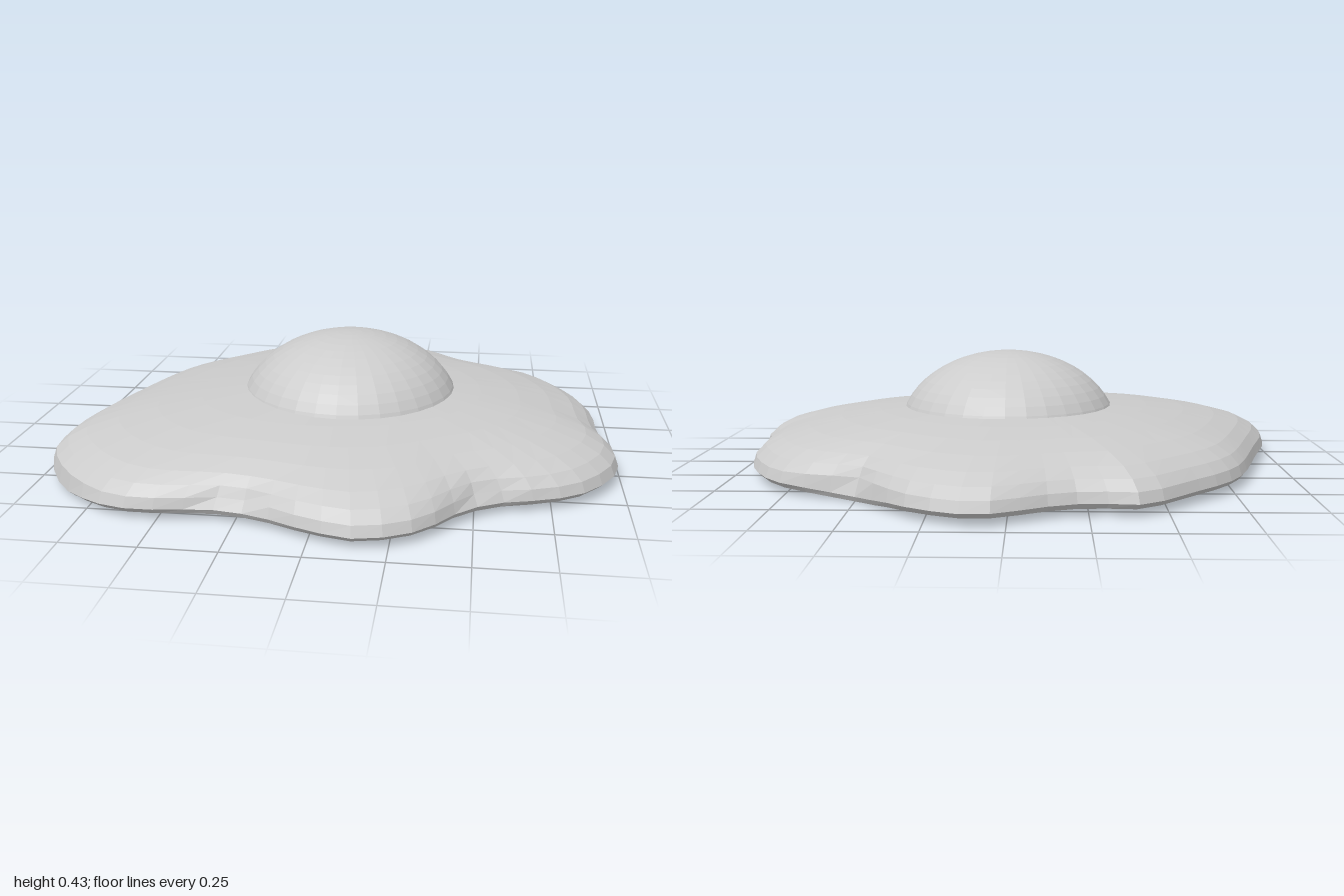
import * as THREE from 'three';

// Wavy rim of the egg white as x, z pairs, clockwise from the back
const RIM = [
  0.14, -0.955, 0.31, -0.865, 0.39, -0.775, 0.51, -0.64, 0.725, -0.57, 0.8, -0.515,
  0.895, -0.36, 0.945, -0.2, 0.955, 0.065, 0.995, 0.2, 0.97, 0.355, 0.85, 0.52,
  0.74, 0.58, 0.555, 0.64, 0.445, 0.73, 0.355, 0.85, 0.265, 0.91, 0.15, 0.945,
  0, 0.905, -0.17, 0.83, -0.32, 0.8, -0.56, 0.825, -0.68, 0.8, -0.835, 0.68,
  -0.95, 0.525, -0.997, 0.4, -0.985, 0.21, -0.905, -0.05, -0.79, -0.4, -0.72, -0.515,
  -0.6, -0.645, -0.41, -0.825, -0.265, -0.815, -0.14, -0.85, 0.045, -0.95,
];

// Cross-section from the top centre, over the rim, to the bottom centre:
// [share of the rim radius, height, pinch in the dents]
const PROFILE = [
  [0, 0.24, 0], [0.35, 0.235, 0], [0.55, 0.218, 0], [0.7, 0.198, 0], [0.82, 0.173, 0],
  [0.91, 0.143, 0], [0.96, 0.112, 0.3], [0.99, 0.078, 0.5], [1, 0.042, 0],
  [0.985, 0.024, 0], [0.85, 0.02, 0], [0, 0.02, 0],
];

const SEGMENTS = 64;

function eggWhiteGeometry() {
  const controls = [];
  for (let i = 0; i < RIM.length; i += 2) controls.push(new THREE.Vector3(RIM[i], 0, RIM[i + 1]));
  const rim = new THREE.CatmullRomCurve3(controls, true).getSpacedPoints(SEGMENTS).slice(0, SEGMENTS);

  // Softened rim that the inner rings follow
  const soft = rim.map((_, j) => {
    const sum = new THREE.Vector3();
    for (let k = -6; k <= 6; k++) sum.add(rim[(j + k + SEGMENTS) % SEGMENTS]);
    return sum.divideScalar(13);
  });

  const positions = [];
  const index = [];
  PROFILE.forEach(([s, y, pinch], i) => {
    for (let j = 0; j < SEGMENTS; j++) {
      const p = soft[j].clone().lerp(rim[j], s ** 3);
      const dent = Math.max(0, soft[j].length() - rim[j].length());
      p.multiplyScalar(s).setLength(Math.max(0, p.length() - pinch * dent));
      // The underside edge droops to the ground in two places
      let droop = 0;
      if (i >= 8 && s > 0.9) {
        for (const [x, z] of [[0.5, -0.64], [-0.88, 0.62]]) {
          droop += 0.024 * Math.exp(-((p.x - x) ** 2 + (p.z - z) ** 2) / 0.03);
        }
      }
      positions.push(p.x, y - droop, p.z);
      if (i < PROFILE.length - 1) {
        const a = i * SEGMENTS + j;
        const d = i * SEGMENTS + (j + 1) % SEGMENTS;
        const b = a + SEGMENTS;
        const c = d + SEGMENTS;
        if (i > 0) index.push(a, d, c);
        if (i < PROFILE.length - 2) index.push(a, c, b);
        if (i === 0) index.push(a, c, b);
      }
    }
  });
  const geometry = new THREE.BufferGeometry();
  geometry.setAttribute('position', new THREE.Float32BufferAttribute(positions, 3));
  geometry.setIndex(index);
  geometry.computeVertexNormals();
  return geometry;
}

export function createModel() {
  const group = new THREE.Group();
  group.name = 'friedEgg';
  const material = new THREE.MeshStandardMaterial({ color: 0xcccccc, flatShading: true });

  const white = new THREE.Mesh(eggWhiteGeometry(), material);
  white.name = 'eggWhite';

  // Yolk: flattened dome sunk into the white
  const yolk = new THREE.Mesh(new THREE.SphereGeometry(1, 32, 12, 0, Math.PI * 2, 0, Math.PI * 0.42), material);
  yolk.name = 'yolk';
  yolk.scale.set(0.41, 0.3, 0.41);
  yolk.position.set(0.023, 0.13, 0.022);

  group.add(white, yolk);
  return group;
}
